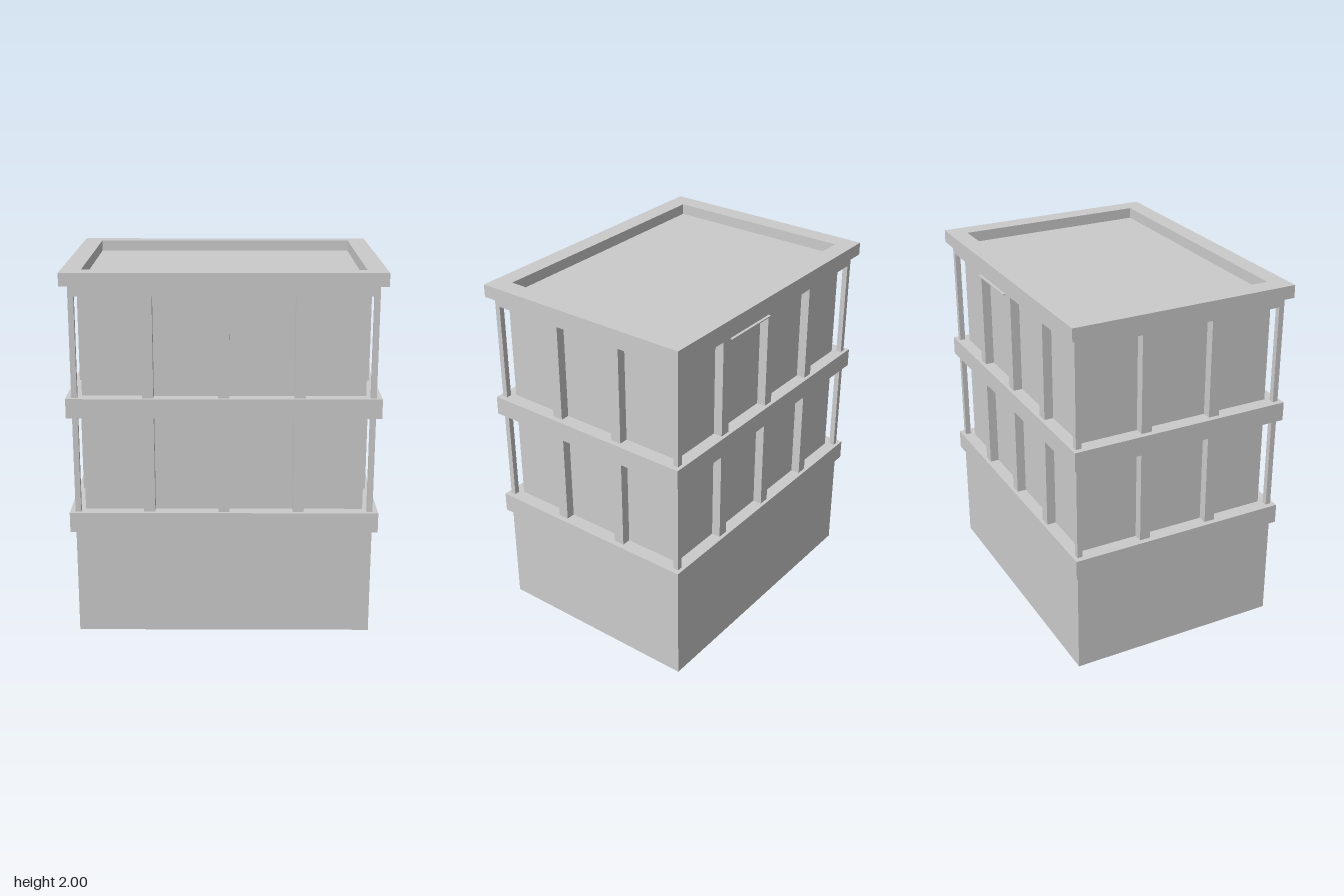
import * as THREE from 'three';

export function createModel() {
  const model = new THREE.Group();
  model.name = 'building';
  const mat = new THREE.MeshStandardMaterial({ color: 0xcccccc, flatShading: true });

  // Box given by its centre in plan, its plan size and its bottom and top
  function block(name, x, z, w, d, y0, y1, parent = model) {
    const mesh = new THREE.Mesh(new THREE.BoxGeometry(w, y1 - y0, d), mat);
    mesh.position.set(x, (y0 + y1) / 2, z);
    mesh.name = name;
    parent.add(mesh);
    return mesh;
  }

  // Plain ground floor, recessed upper core, wall above the top windows
  block('groundFloor', 0, 0, 1.6, 1.2, 0, 0.6);
  block('recessedCore', 0, 0, 1.5, 1.1, 0.65, 1.9);
  block('topWall', 0, 0, 1.6, 1.2, 1.875, 1.94);

  // Projecting floor bands
  block('lowerBand', 0, 0, 1.66, 1.24, 0.59, 0.7);
  block('middleBand', 0, 0, 1.66, 1.24, 1.23, 1.335);

  // Piers between the window bays on both storeys
  const piers = new THREE.Group();
  piers.name = 'piers';
  model.add(piers);
  for (const [y0, y1] of [[0.7, 1.23], [1.335, 1.875]]) {
    for (const s of [-1, 1]) {
      for (const x of [-0.4, 0, 0.4]) block('longSidePier', x, s * 0.575, 0.06, 0.05, y0, y1, piers);
      for (const z of [-0.2, 0.2]) block('shortSidePier', s * 0.775, z, 0.05, 0.06, y0, y1, piers);
      for (const t of [-1, 1]) block('cornerPost', s * 0.785, t * 0.585, 0.03, 0.03, y0, y1, piers);
    }
  }

  // Thin ledge over one rear window
  block('rearLedge', 0.2, -0.605, 0.34, 0.02, 1.869, 1.875);

  // Cornice and parapet ring around the sunken roof
  const rect = (Type, w, d) => {
    const r = new Type();
    r.moveTo(-w, -d);
    r.lineTo(w, -d);
    r.lineTo(w, d);
    r.lineTo(-w, d);
    r.closePath();
    return r;
  };
  const ring = rect(THREE.Shape, 0.84, 0.63);
  ring.holes.push(rect(THREE.Path, 0.735, 0.53));
  const ringGeo = new THREE.ExtrudeGeometry(ring, { depth: 0.07, bevelEnabled: false });
  ringGeo.rotateX(-Math.PI / 2);
  const cornice = new THREE.Mesh(ringGeo, mat);
  cornice.position.y = 1.93;
  cornice.name = 'cornice';
  model.add(cornice);

  return model;
}
